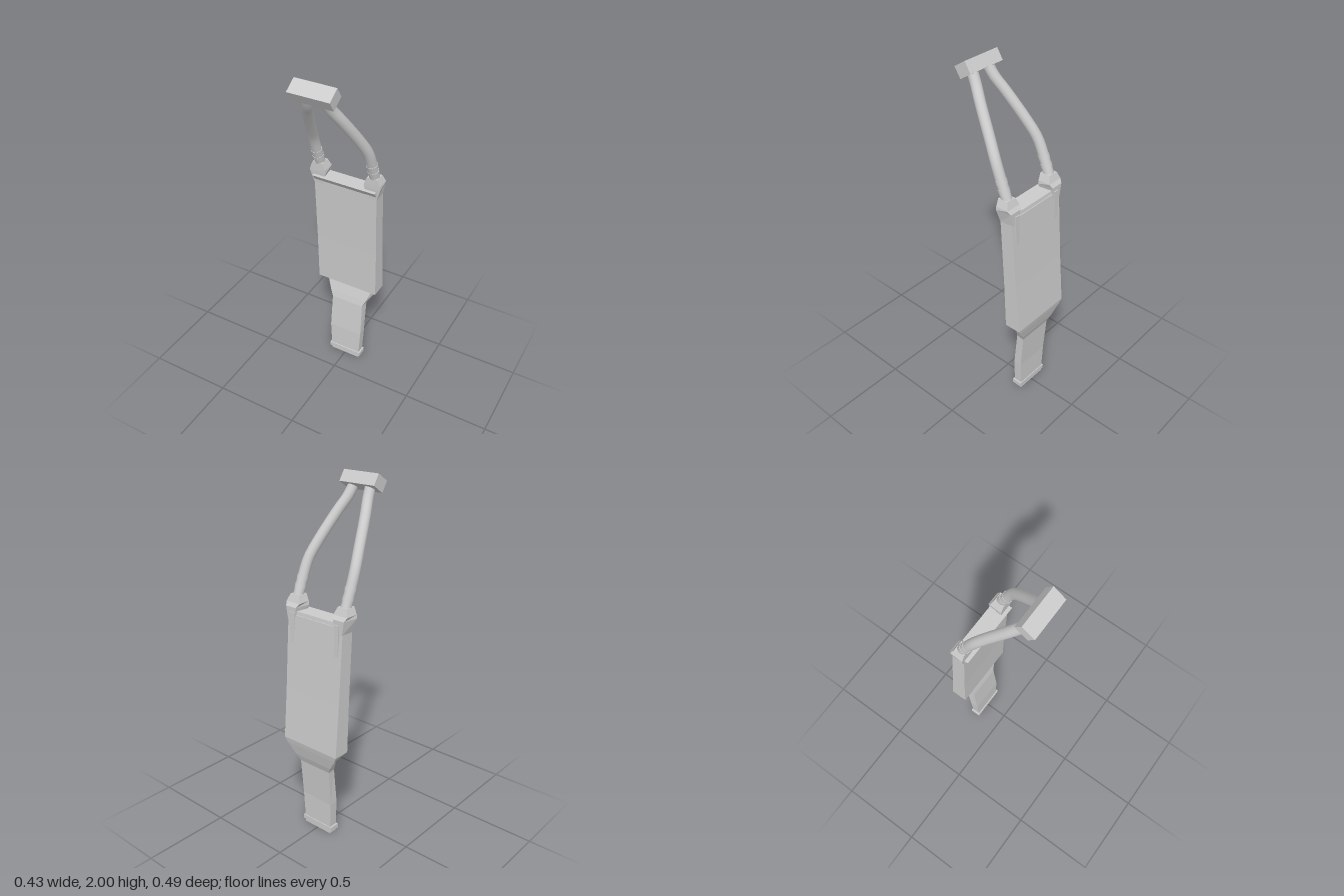
import * as THREE from 'three';

const mat = new THREE.MeshStandardMaterial({ color: 0xcccccc });
const flat = new THREE.MeshStandardMaterial({ color: 0xcccccc, flatShading: true });

function add(parent, name, geo, material = flat) {
  const mesh = new THREE.Mesh(geo, material);
  mesh.name = name;
  parent.add(mesh);
  return mesh;
}

// Closed loft through four-cornered sections: [y, zFront, zBack, halfFront, halfBack], bottom to top
function loft(sections) {
  const pos = [], idx = [];
  for (const [y, zf, zb, hf, hb] of sections) pos.push(-hf, y, zf, hf, y, zf, hb, y, zb, -hb, y, zb);
  for (let s = 0; s < sections.length - 1; s++) {
    for (let i = 0; i < 4; i++) {
      const a = s * 4 + i, b = s * 4 + (i + 1) % 4;
      idx.push(a, b, b + 4, a, b + 4, a + 4);
    }
  }
  const t = (sections.length - 1) * 4;
  idx.push(0, 2, 1, 0, 3, 2, t, t + 1, t + 2, t, t + 2, t + 3);
  const indexed = new THREE.BufferGeometry();
  indexed.setAttribute('position', new THREE.Float32BufferAttribute(pos, 3));
  indexed.setIndex(idx);
  const geo = indexed.toNonIndexed();
  geo.computeVertexNormals();
  return geo;
}

// Shoulder clip, hose and cuffs for one side
function makeSide(side) {
  const g = new THREE.Group();
  g.name = side > 0 ? 'leftHoseAssembly' : 'rightHoseAssembly';

  // Clip that straddles the top corner of the pack
  const clip = add(g, 'shoulderClip', loft([
    [1.25, -0.115, -0.195, 0.026, 0.024],
    [1.325, -0.107, -0.195, 0.049, 0.036],
    [1.345, -0.106, -0.18, 0.046, 0.046],
    [1.385, -0.105, -0.165, 0.03, 0.03],
  ]));
  clip.position.x = side * 0.165;

  // Narrow tail running down the back
  const tail = add(g, 'clipTail', loft([
    [1.13, -0.19, -0.203, 0.012, 0.012],
    [1.3, -0.175, -0.2, 0.015, 0.015],
  ]));
  tail.position.x = side * 0.155;

  // Hose sweeping inward and forward to the head block
  const path = new THREE.CatmullRomCurve3([
    [0.165, 1.36, -0.142], [0.165, 1.46, -0.103], [0.16, 1.56, -0.06], [0.138, 1.65, -0.005],
    [0.092, 1.8, 0.1], [0.066, 1.87, 0.15], [0.055, 1.93, 0.185],
  ].map(([x, y, z]) => new THREE.Vector3(side * x, y, z)));
  add(g, 'hose', new THREE.TubeGeometry(path, 20, 0.029, 16), mat);

  // Raised cuffs near the clip
  for (const t of [0.1, 0.17]) {
    const cuff = add(g, 'hoseCuff', new THREE.CylinderGeometry(0.031, 0.031, 0.022, 16), mat);
    cuff.position.copy(path.getPointAt(t));
    cuff.quaternion.setFromUnitVectors(new THREE.Vector3(0, 1, 0), path.getTangentAt(t));
  }
  return g;
}

export function createModel() {
  const model = new THREE.Group();

  // Slim pack body with overhanging front lip, pinched waist and narrow lower tail
  add(model, 'packBody', loft([
    [0, -0.138, -0.187, 0.094, 0.094],
    [0.2, -0.14, -0.19, 0.104, 0.104],
    [0.42, -0.158, -0.207, 0.101, 0.106],
    [0.46, -0.167, -0.222, 0.118, 0.128],
    [0.53, -0.186, -0.24, 0.145, 0.175],
    [0.56, -0.15, -0.246, 0.19, 0.19],
    [0.86, -0.138, -0.22, 0.19, 0.19],
    [1.1, -0.124, -0.203, 0.19, 0.19],
    [1.27, -0.114, -0.19, 0.19, 0.19],
    [1.305, -0.088, -0.185, 0.19, 0.19],
  ]));

  // Collar round the foot
  add(model, 'footCollar', loft([
    [0.018, -0.132, -0.192, 0.106, 0.106],
    [0.045, -0.132, -0.192, 0.106, 0.106],
  ]));

  // Shallow panel on the back, following its slope
  add(model, 'backPanel', loft([
    [1.12, -0.19, -0.2045, 0.145, 0.145],
    [1.285, -0.175, -0.1925, 0.145, 0.145],
  ]));

  for (const side of [-1, 1]) model.add(makeSide(side));

  // Tilted block joining the two hoses
  const head = add(model, 'headBlock', new THREE.BoxGeometry(0.23, 0.068, 0.083));
  head.position.set(0, 1.948, 0.19);
  head.rotation.x = 0.58;

  return model;
}
